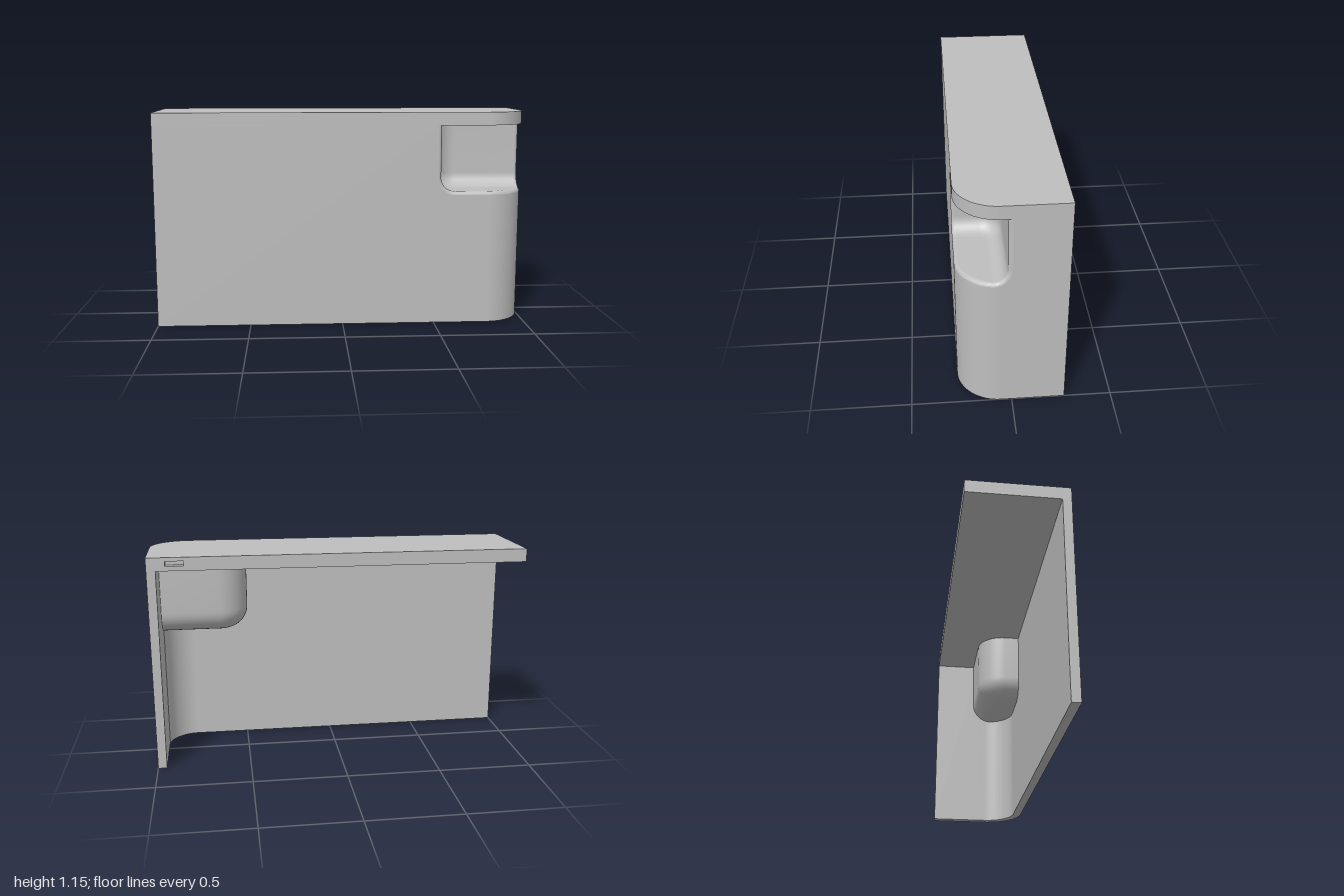
import * as THREE from 'three';
import { toCreasedNormals } from 'three/addons/utils/BufferGeometryUtils.js';

const FRONT = 0.265, BACK = -0.265;      // depth limits
const CEIL = 1.08, TOP = 1.15;           // underside and top of the slab
const WALL = 0.047, R = 0.21;            // wall thickness, outer corner radius
const LIP = 0.018;                       // rounding around the opening
const POCKET = { x: 0.53, y: 0.725, z: 0.022, corner: 0.11, fillet: 0.075 };
const CX = 1 - R, CZ = FRONT - R, S1 = 1 + CX, S2 = S1 + R * Math.PI / 2, S_END = S2 + CZ - BACK;
const STEPS = 10;

// Point on the bent wall: s runs along the front, round the corner, along the side
function onWall(s, y, depth) {
  if (s <= S1) return new THREE.Vector3(s - 1, y, FRONT - depth);
  if (s >= S2) return new THREE.Vector3(1 - depth, y, CZ - (s - S2));
  const a = (s - S1) / R;
  return new THREE.Vector3(CX + (R - depth) * Math.sin(a), y, CZ + (R - depth) * Math.cos(a));
}
const sAtX = x => x + 1;
const sAtZ = z => (z < CZ ? S2 + CZ - z : S1 + R * Math.acos((z - CZ) / R));

// Skin a list of equally long rows of points
function skin(rows, flip = false) {
  const n = rows[0].length, index = [];
  for (let i = 0; i < rows.length - 1; i++) {
    for (let j = 0; j < n - 1; j++) {
      const a = i * n + j, b = a + n, c = b + 1, d = a + 1;
      if (flip) index.push(a, c, b, a, d, c);
      else index.push(a, b, c, a, c, d);
    }
  }
  const g = new THREE.BufferGeometry().setFromPoints(rows.flat());
  g.setIndex(index);
  return toCreasedNormals(g, 0.6);
}

// Levels of a pocket from the ceiling to its floor: y and inset
function levels(p) {
  const list = [{ y: CEIL, e: 0, a: 0 }];
  for (let i = 0; i <= STEPS; i++) {
    const a = (i / STEPS) * Math.PI / 2;
    list.push({ y: p.y + p.fillet * (1 - Math.sin(a)), e: p.fillet * (1 - Math.cos(a)), a });
  }
  return list;
}

// Plan curve of a pocket at one level, from the front wall to the side wall
function planCurve(p, { y, e }, depth) {
  const pts = [new THREE.Vector3(p.x + e, y, FRONT - depth)];
  const r = Math.max(p.corner - e, 0);
  for (let i = 0; i <= 14; i++) {
    const a = (i / 14) * Math.PI / 2;
    pts.push(new THREE.Vector3(p.x + p.corner - r * Math.cos(a), y, p.z + p.corner - r * Math.sin(a)));
  }
  pts.push(onWall(sAtZ(p.z + e), y, depth));
  return pts;
}

// Flat cap closing the bottom of a pocket
function cap(p, depth, up) {
  const pts = planCurve(p, levels(p).at(-1), depth);
  const a = sAtZ(p.z + p.fillet), b = sAtX(p.x + p.fillet);
  for (let i = 1; i < 32; i++) pts.push(onWall(a + (b - a) * i / 32, p.y, depth));
  const shape = new THREE.Shape(pts.map(v => new THREE.Vector2(v.x, up ? -v.z : v.z)));
  const g = new THREE.ShapeGeometry(shape);
  g.rotateX(up ? -Math.PI / 2 : Math.PI / 2);
  g.translate(0, p.y, 0);
  return g;
}

// Outline of the opening on the wall, with its outward direction
function openingContour() {
  const p = POCKET, lv = levels(p), out = [];
  for (const { y, e, a } of lv) out.push({ s: sAtX(p.x + e), y, nx: -Math.cos(a), ny: -Math.sin(a) });
  const a = sAtX(p.x + p.fillet), b = sAtZ(p.z + p.fillet);
  for (let i = 1; i < 32; i++) out.push({ s: a + (b - a) * i / 32, y: p.y, nx: 0, ny: -1 });
  for (const { y, e, a } of lv.reverse()) out.push({ s: sAtZ(p.z + e), y, nx: Math.cos(a), ny: -Math.sin(a) });
  return out;
}

// One bent wall with a notch for the opening, closed at both ends
function wallGeometry(contour) {
  const cols = [[0, CEIL]];
  for (const c of contour) cols.push([c.s + c.nx * LIP, c.y + c.ny * LIP]);
  cols.push([S_END, CEIL]);
  const rows = cols.map(([s, h]) => [
    onWall(s, 0, 0), onWall(s, h, 0), onWall(s, h, WALL), onWall(s, 0, WALL), onWall(s, 0, 0),
  ]);
  const end = s => Array.from({ length: 5 }, () => onWall(s, CEIL / 2, WALL / 2));
  return skin([end(0), ...rows, end(S_END)]);
}

// Rounded rim leading from the wall into the pocket
function rimGeometry(contour) {
  return skin(contour.map(c => {
    const row = [];
    for (let i = 0; i <= 6; i++) {
      const t = (i / 6) * Math.PI / 2, k = LIP * (1 - Math.sin(t));
      row.push(onWall(c.s + c.nx * k, c.y + c.ny * k, LIP * (1 - Math.cos(t))));
    }
    return row;
  }));
}

// Layer of the top slab, optionally notched at the back for the slot
function slabLayer(y0, y1, notched) {
  const s = new THREE.Shape();
  s.moveTo(-1, -FRONT);
  s.lineTo(CX, -FRONT);
  s.absarc(CX, -CZ, R, -Math.PI / 2, 0, false);
  s.lineTo(1, -BACK);
  if (notched) {
    s.lineTo(0.905, -BACK);
    s.lineTo(0.905, -BACK - 0.04);
    s.lineTo(0.81, -BACK - 0.04);
    s.lineTo(0.81, -BACK);
  }
  s.lineTo(-1, -BACK);
  const g = new THREE.ExtrudeGeometry(s, { depth: y1 - y0, bevelEnabled: false, curveSegments: 24 });
  g.rotateX(-Math.PI / 2);
  g.translate(0, y0, 0);
  return toCreasedNormals(g, 0.6);
}

export function createModel() {
  const group = new THREE.Group();
  group.name = 'cornerCover';
  const grey = new THREE.MeshStandardMaterial({ color: 0xbfbfbf });
  grey.name = 'grey';
  const add = (name, geometry) => {
    const mesh = new THREE.Mesh(geometry, grey);
    mesh.name = name;
    group.add(mesh);
  };

  // Front and side wall with the rounded corner
  const contour = openingContour();
  add('wall', wallGeometry(contour));
  add('pocketRim', rimGeometry(contour));

  // Pocket seen from outside
  add('pocketSides', skin(levels(POCKET).map(l => planCurve(POCKET, l, LIP))));
  add('pocketFloor', cap(POCKET, LIP, true));

  // Back of the pocket bulging into the inside
  const shell = {
    x: POCKET.x - WALL, y: POCKET.y - WALL, z: POCKET.z - WALL,
    corner: POCKET.corner + WALL, fillet: POCKET.fillet + WALL,
  };
  add('pocketShell', skin(levels(shell).map(l => planCurve(shell, l, 0.025)), true));
  add('pocketShellBottom', cap(shell, 0.025, false));

  // Top slab in three layers, the middle one with a slot at the back
  add('slabBottom', slabLayer(CEIL, 1.105, false));
  add('slabSlotLayer', slabLayer(1.105, 1.13, true));
  add('slabTop', slabLayer(1.13, TOP, false));
  return group;
}
